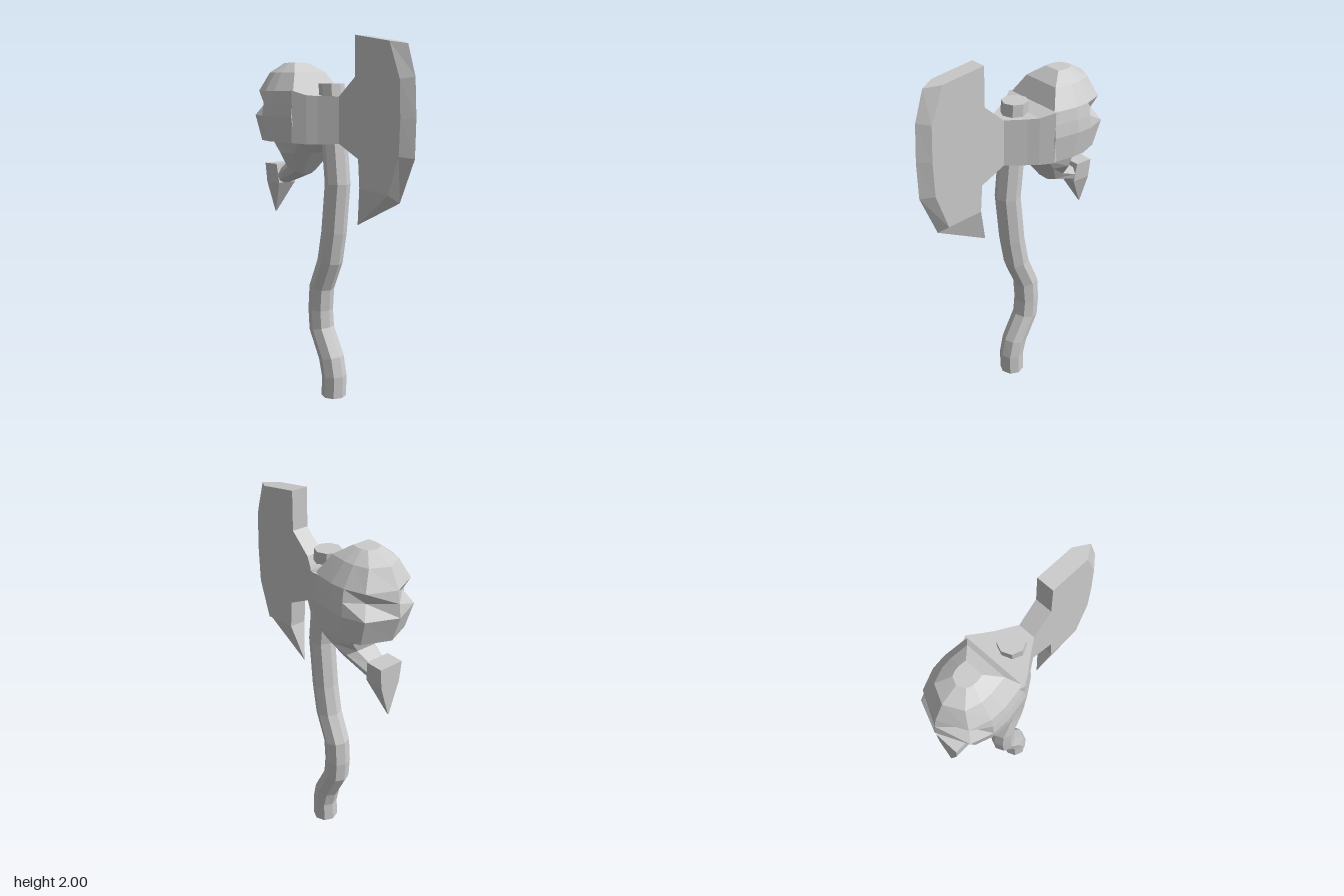
import * as THREE from 'three';

const V = (x, y, z) => new THREE.Vector3(x, y, z);
const material = new THREE.MeshStandardMaterial({ color: 0xcccccc, flatShading: true });

// Closed solid through rings of equal point count, capped at both ends.
function loft(rings) {
  const tris = [];
  const n = rings[0].length;
  for (let i = 0; i < rings.length - 1; i++) {
    for (let j = 0; j < n; j++) {
      const k = (j + 1) % n;
      const [a, b, c, d] = [rings[i][j], rings[i][k], rings[i + 1][k], rings[i + 1][j]];
      tris.push([a, b, c], [a, c, d]);
    }
  }
  const cap = (ring, flip) => {
    const mid = ring.reduce((s, p) => s.add(p), V(0, 0, 0)).divideScalar(n);
    ring.forEach((p, j) => {
      const q = ring[(j + 1) % n];
      tris.push(flip ? [mid, q, p] : [mid, p, q]);
    });
  };
  cap(rings[0], true);
  cap(rings[rings.length - 1], false);
  // Turn the faces outward when the rings run the other way.
  const volume = tris.reduce((s, [a, b, c]) => s + a.dot(b.clone().cross(c)), 0);
  if (volume < 0) tris.forEach((t) => t.reverse());
  const geometry = new THREE.BufferGeometry().setFromPoints(tris.flat());
  geometry.computeVertexNormals();
  return geometry;
}

export function createModel() {
  const group = new THREE.Group();
  const add = (name, geometry) => {
    const mesh = new THREE.Mesh(geometry, material);
    mesh.name = name;
    group.add(mesh);
  };

  // Crooked octagonal handle: [centre x, y]
  const path = [[-0.02, 0], [-0.018, 0.12], [-0.04, 0.22], [-0.12, 0.38], [-0.128, 0.49],
    [-0.118, 0.62], [-0.05, 0.78], [-0.018, 0.95], [0.01, 1.22], [-0.012, 1.44], [-0.037, 1.755]];
  add('handle', loft(path.map(([x, y], i) => {
    const slope = i > 0 && i < path.length - 1
      ? (path[i + 1][0] - path[i - 1][0]) / (path[i + 1][1] - path[i - 1][1]) : 0;
    return Array.from({ length: 8 }, (_, j) => {
      const a = j * Math.PI / 4;
      const dx = 0.07 * Math.cos(a);
      return V(x + dx, y - dx * slope * 0.6, 0.07 * Math.sin(a));
    });
  })));

  // Blade: flat plate, then a bevel running out to the cutting edge
  const t = 0.047;
  const inner = [[0.42, 1.963], [0.49, 1.78], [0.497, 1.59], [0.49, 1.4], [0.42, 1.2], [0.22, 1.22]];
  const edge = [[0.5, 1.95], [0.55, 1.79], [0.56, 1.59], [0.555, 1.39], [0.46, 1.16], [0.163, 1.01]];
  const back = [[0.21, 1.37], [0.07, 1.44], [0.07, 1.69], [0.185, 1.79], [0.185, 2]];
  const plate = new THREE.Shape([...inner, ...back].map(([x, y]) => new THREE.Vector2(x, y)));
  add('bladePlate', new THREE.ExtrudeGeometry(plate, { depth: 2 * t, bevelEnabled: false }).translate(0, 0, -t));
  add('bladeEdge', loft(inner.map(([x, y], i) => [V(x, y, t), V(edge[i][0], edge[i][1], 0), V(x, y, -t)])));

  // Collar flaring from the blade to the skull: [x, bottom, top, half width]
  const collar = [[0.07, 1.44, 1.69, t], [-0.03, 1.435, 1.69, 0.11], [-0.08, 1.435, 1.695, 0.146],
    [-0.15, 1.44, 1.72, 0.188], [-0.22, 1.46, 1.71, 0.16]];
  add('collar', loft(collar.map(([x, b, h, w]) => [V(x, b, w), V(x, h, w), V(x, h, -w), V(x, b, -w)])));

  // Cranium rings: [y, front x, back x, half width, eye socket depth]
  const half = [[0.16, 0.76], [0.42, 0.97], [0.62, 1], [0.95, 0.92]];
  const plan = [[0, 0], ...half, ...half.map(([u, w]) => [u, -w]).reverse()];
  const cranium = [[1.868, -0.39, -0.27, 0.055, 0], [1.815, -0.485, -0.19, 0.125, 0],
    [1.715, -0.54, -0.13, 0.19, 0], [1.65, -0.552, -0.125, 0.202, 0.035],
    [1.58, -0.562, -0.125, 0.21, 0], [1.44, -0.515, -0.125, 0.192, 0]];
  add('cranium', loft(cranium.map(([y, front, rear, w, socket]) => plan.map(([u, s], j) => {
    const eye = j === 1 || j === plan.length - 1 ? socket : 0;
    return V(front + u * (rear - front) + eye, y, s * w - Math.sign(s) * eye);
  }))));

  // Skull base narrowing into the jaw: [upper x, y, lower x, y, half width]
  const jaw = [[-0.4, 1.445, -0.07, 1.44, 0.188], [-0.35, 1.38, -0.14, 1.38, 0.17],
    [-0.335, 1.32, -0.235, 1.255, 0.095], [-0.42, 1.27, -0.41, 1.19, 0.065]];
  add('jaw', loft(jaw.map(([ux, uy, lx, ly, w]) => {
    const at = (k, z) => V(ux + (lx - ux) * k, uy + (ly - uy) * k, z);
    return [at(0, w * 0.6), at(0.4, w), at(0.8, w * 0.85), at(1, w * 0.35),
      at(1, -w * 0.35), at(0.8, -w * 0.85), at(0.4, -w), at(0, -w * 0.6)];
  })));

  // Pointed chin
  const chin = [[1.3, -0.52, -0.42, 0.07], [1.19, -0.518, -0.41, 0.06], [1.01, -0.515, -0.511, 0.003]];
  add('chin', loft(chin.map(([y, a, b, w]) => [V(a, y, w), V(b, y, w), V(b, y, -w), V(a, y, -w)])));

  return group;
}
